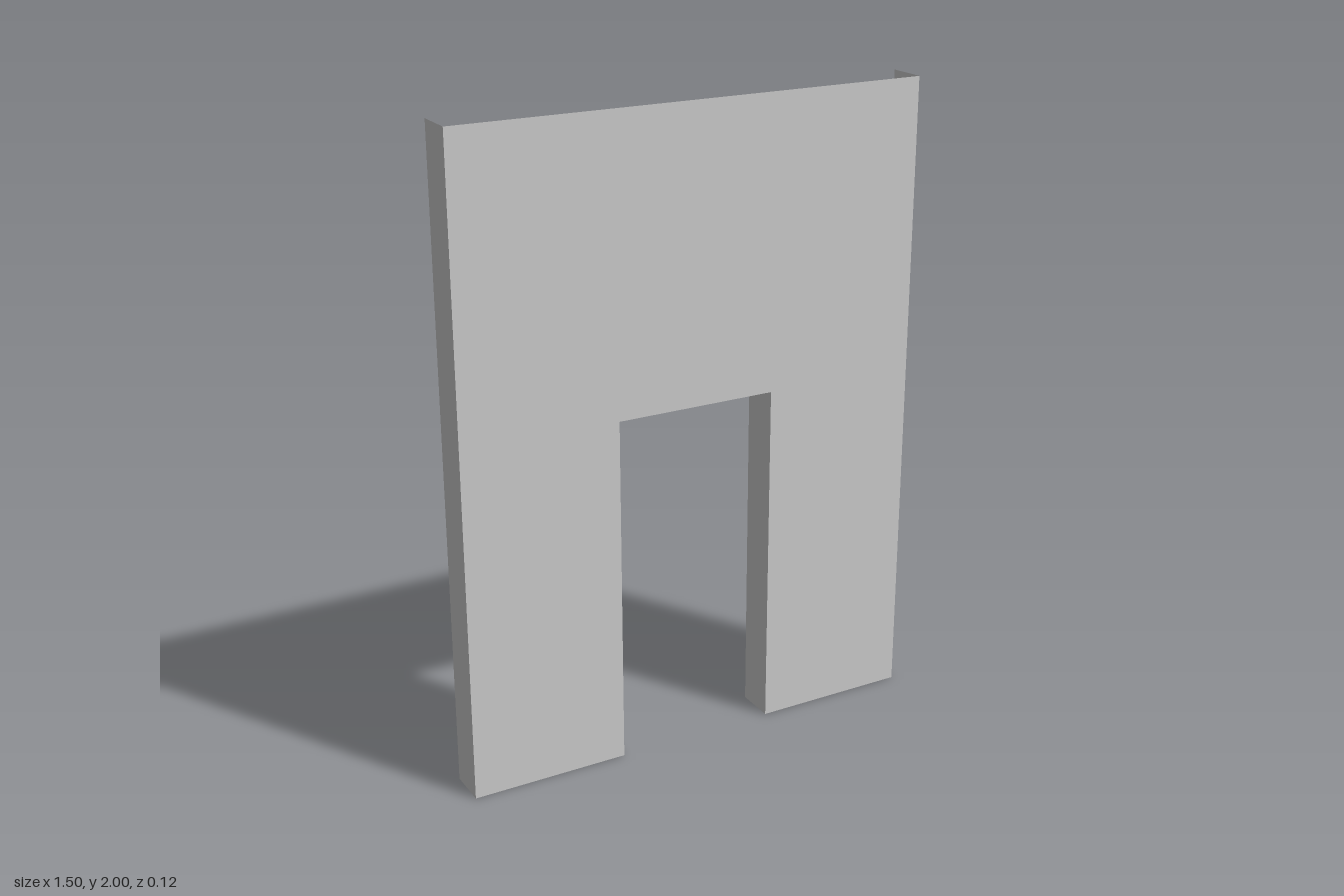
import * as THREE from 'three';

const W = 0.75, H = 2, D = 0.0625;   // half width, height, half depth
const DOOR_W = 0.255, DOOR_H = 1.1;  // half width and height of the opening

export function createModel() {
  const group = new THREE.Group();
  const material = new THREE.MeshStandardMaterial({
    color: 0xcccccc, side: THREE.DoubleSide, flatShading: true,
  });
  const add = (name, geometry) => {
    const mesh = new THREE.Mesh(geometry, material);
    mesh.name = name;
    group.add(mesh);
    return mesh;
  };

  // thin front sheet with the doorway cut out from the bottom edge
  const outline = [
    [-W, 0], [-DOOR_W, 0], [-DOOR_W, DOOR_H], [DOOR_W, DOOR_H],
    [DOOR_W, 0], [W, 0], [W, H], [-W, H],
  ].map(([x, y]) => new THREE.Vector2(x, y));
  add('wallPanel', new THREE.ShapeGeometry(new THREE.Shape(outline))).position.z = D;

  // upright returns running back from the outer edges and the door edges
  for (const [side, s] of [['left', 1], ['right', -1]]) {
    const edge = add(`${side}EdgeReturn`, new THREE.PlaneGeometry(2 * D, H).rotateY(s * Math.PI / 2));
    edge.position.set(s * W, H / 2, 0);
    const jamb = add(`${side}DoorJamb`, new THREE.PlaneGeometry(2 * D, DOOR_H).rotateY(-s * Math.PI / 2));
    jamb.position.set(s * DOOR_W, DOOR_H / 2, 0);
  }

  // underside of the wall over the doorway
  const lintel = add('doorLintel', new THREE.PlaneGeometry(2 * DOOR_W, 2 * D).rotateX(Math.PI / 2));
  lintel.position.y = DOOR_H;

  return group;
}
